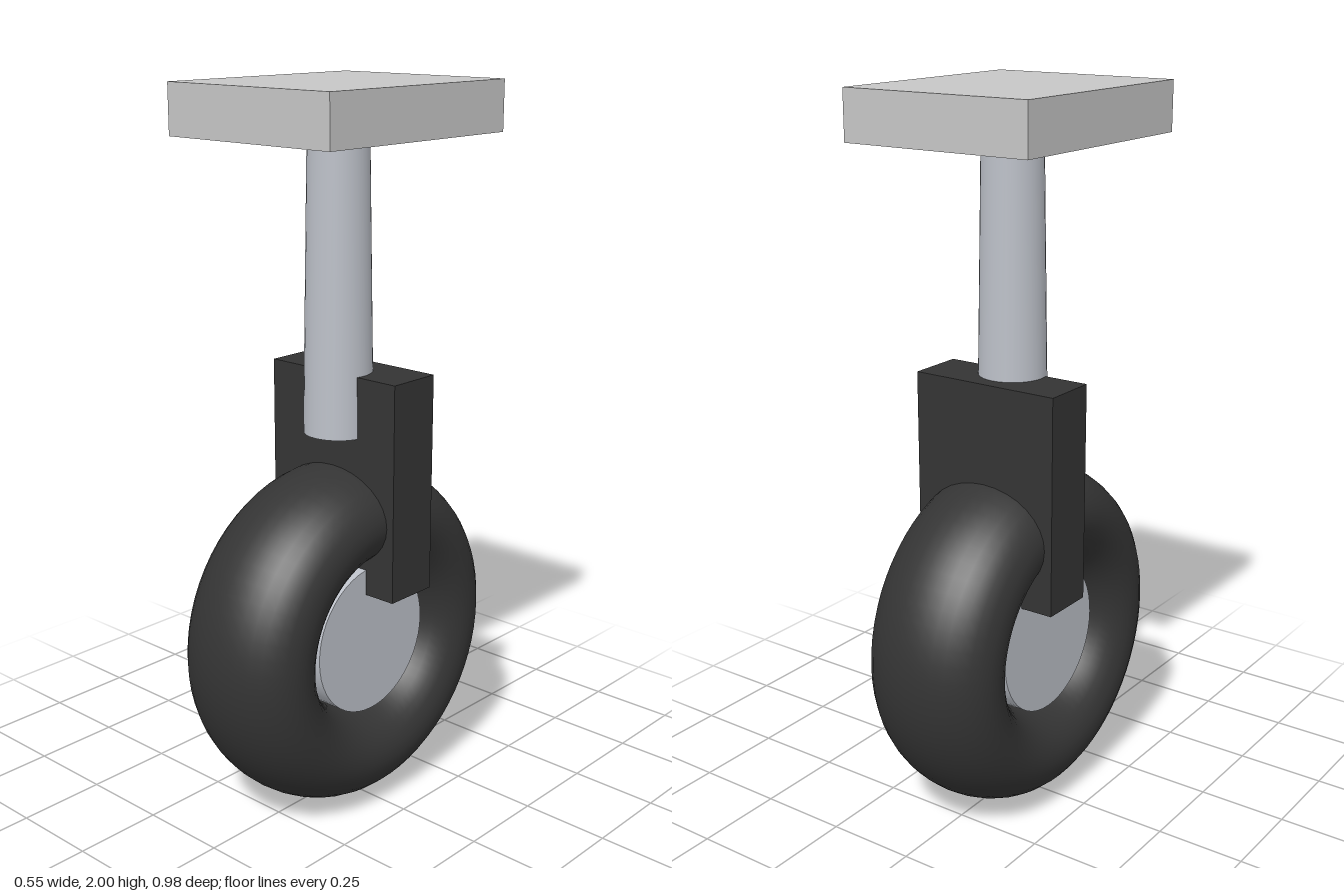
import * as THREE from 'three';

const material = (name, color) => {
  const m = new THREE.MeshStandardMaterial({ color });
  m.name = name;
  return m;
};

export function createModel() {
  const group = new THREE.Group();
  group.name = 'casterWheel';

  const plateGrey = material('plate grey', 0xc6c6c6);
  const steel = material('steel', 0xbcc0c8);
  const black = material('black', 0x343434);

  const add = (name, geometry, mat, x, y, z) => {
    const mesh = new THREE.Mesh(geometry, mat);
    mesh.name = name;
    mesh.position.set(x, y, z);
    group.add(mesh);
    return mesh;
  };

  const axleY = 0.491;

  // Mounting plate
  add('mountingPlate', new THREE.BoxGeometry(0.554, 0.135, 0.666), plateGrey, 0, 1.9325, 0);

  // Strut, slightly wider at its foot, sunk into the fork
  add('strut', new THREE.CylinderGeometry(0.082, 0.096, 0.81, 32), steel, 0, 1.475, 0);

  // Fork block set behind the strut, straddling the wheel
  add('fork', new THREE.BoxGeometry(0.44, 0.61, 0.16), black, 0, 0.935, -0.055);

  // Tyre with an oval cross-section, wider than it is deep
  const tyre = new THREE.TorusGeometry(0.349, 0.14, 32, 64);
  tyre.rotateY(Math.PI / 2);
  tyre.scale(0.198 / 0.14, 1, 1);
  add('tyre', tyre, black, 0, axleY, 0);

  // Hub
  const hub = new THREE.CylinderGeometry(0.213, 0.213, 0.25, 48);
  hub.rotateZ(Math.PI / 2);
  add('hub', hub, steel, 0, axleY, 0);

  return group;
}
